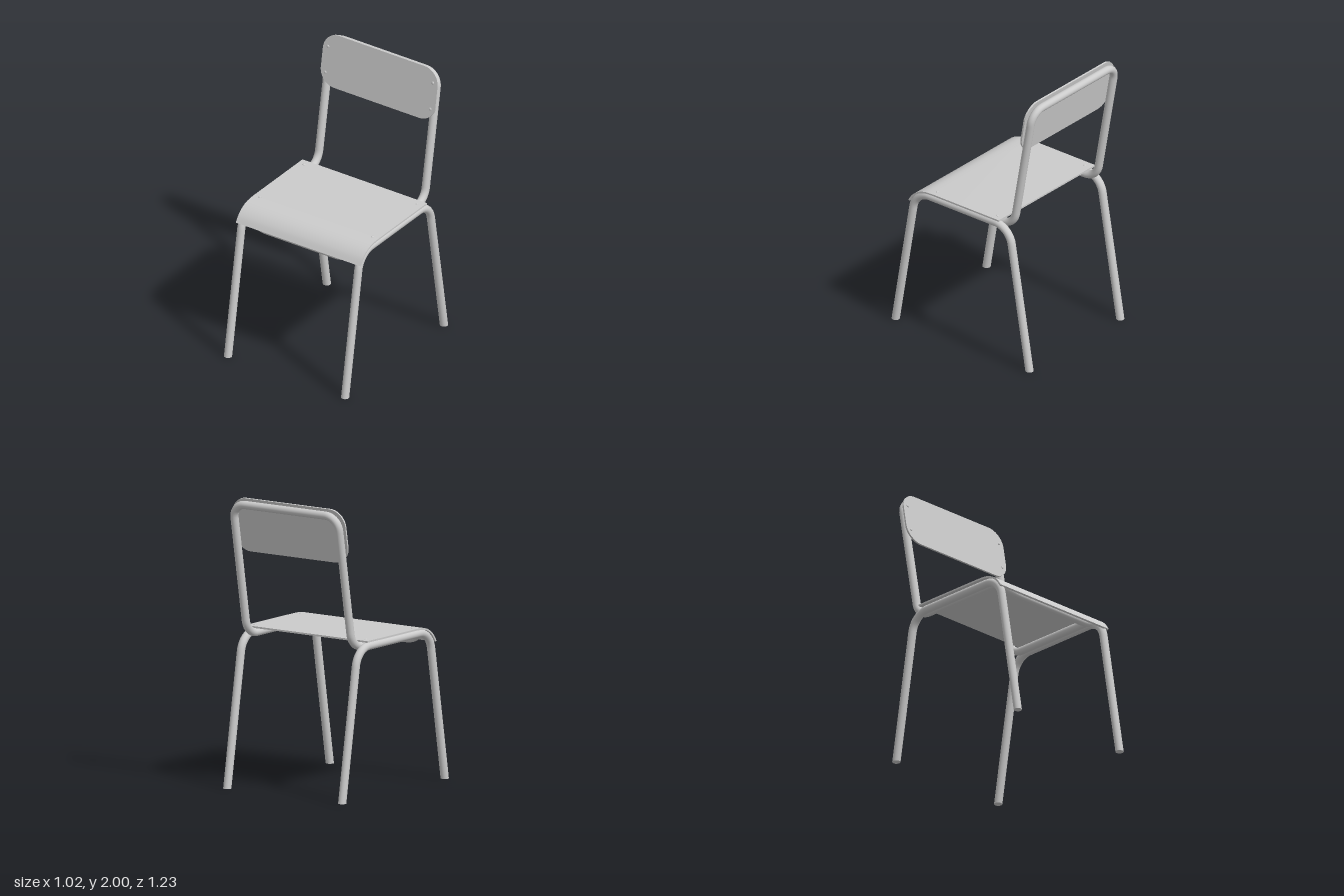
import * as THREE from 'three';
import { toCreasedNormals } from 'three/addons/utils/BufferGeometryUtils.js';

const material = new THREE.MeshStandardMaterial({ color: 0xcccccc });
const TUBE = 0.028;

function part(name, geometry) {
  const mesh = new THREE.Mesh(geometry, material);
  mesh.name = name;
  return mesh;
}

// Path through [z, y] corners in a side plane, every corner rounded to the given radius
function roundedPath(x, corners, radii) {
  const pts = corners.map(([z, y]) => new THREE.Vector3(x, y, z));
  const path = new THREE.CurvePath();
  let from = pts[0];
  for (let i = 1; i < pts.length - 1; i++) {
    const a = pts[i].clone().sub(pts[i - 1]).normalize();
    const b = pts[i + 1].clone().sub(pts[i]).normalize();
    const turn = a.angleTo(b);
    const r = radii[i - 1];
    const start = pts[i].clone().addScaledVector(a, -r * Math.tan(turn / 2));
    const end = pts[i].clone().addScaledVector(b, r * Math.tan(turn / 2));
    const k = (4 / 3) * Math.tan(turn / 4) * r;
    path.add(new THREE.LineCurve3(from, start));
    path.add(new THREE.CubicBezierCurve3(start, start.clone().addScaledVector(a, k),
      end.clone().addScaledVector(b, -k), end));
    from = end;
  }
  path.add(new THREE.LineCurve3(from, pts[pts.length - 1]));
  return path;
}

// Side frame: front leg, seat rail and back leg bent from one tube, feet cut level
function legFrame(x) {
  const foot = 0.585, bend = 0.409, rail = 1.037, steps = 120;
  const path = roundedPath(x, [[foot, 0], [bend, rail], [-bend, rail], [-foot, 0]], [0.145, 0.145]);
  const geometry = new THREE.TubeGeometry(path, steps, TUBE, 18);
  const pos = geometry.attributes.position;
  const slope = (foot - bend) / rail;
  const ring = 19;
  for (let j = 0; j < ring; j++) {
    for (const [i, side] of [[j, 1], [steps * ring + j, -1]]) {
      pos.setZ(i, pos.getZ(i) + side * slope * pos.getY(i));
      pos.setY(i, 0);
    }
  }
  const group = new THREE.Group();
  group.name = 'legFrame';
  group.add(part('legTube', geometry));
  for (const z of [foot, -foot]) {
    const cap = part('footCap', new THREE.CircleGeometry(TUBE, 18).rotateX(Math.PI / 2));
    cap.position.set(x, 0, z);
    group.add(cap);
  }
  return group;
}

// Rounded rectangle bent along a side profile: front bar, seat rails, uprights, top bar
class BentLoop extends THREE.Curve {
  constructor(profile, halfWidth, frontRadius, topRadius) {
    super();
    this.arcLengthDivisions = 800;
    this.profile = profile;
    this.span = profile.getLength();
    const w = halfWidth, L = this.span, f = frontRadius, t = topRadius, P = Math.PI;
    this.plan = new THREE.Path();
    this.plan.moveTo(0, 0).lineTo(w - f, 0);
    this.plan.absarc(w - f, f, f, -P / 2, 0);
    this.plan.absarc(w - t, L - t, t, 0, P / 2);
    this.plan.absarc(-w + t, L - t, t, P / 2, P);
    this.plan.absarc(-w + f, f, f, P, 1.5 * P);
    this.plan.lineTo(0, 0);
  }
  getPoint(t, target = new THREE.Vector3()) {
    const p = this.plan.getPoint(THREE.MathUtils.clamp(t, 0, 1));
    const q = this.profile.getPoint(THREE.MathUtils.clamp(p.y / this.span, 0, 1));
    return target.set(p.x, q.y, q.z);
  }
}

// Thin sheet with a flat top and a front edge that rolls down
function seatGeometry() {
  const width = 1.02, thickness = 0.012;
  const roll = new THREE.SplineCurve([[0.23, 1.08], [0.31, 1.074], [0.37, 1.052], [0.417, 1.015], [0.45, 0.968]]
    .map(([z, y]) => new THREE.Vector2(z, y)));
  const top = [new THREE.Vector2(-0.34, 1.08)];
  const under = [new THREE.Vector2(-0.34, 1.08 - thickness)];
  for (let i = 0; i <= 20; i++) {
    const p = roll.getPointAt(i / 20), d = roll.getTangentAt(i / 20);
    top.push(p);
    under.push(new THREE.Vector2(p.x + d.y * thickness, p.y - d.x * thickness));
  }
  const geometry = new THREE.ExtrudeGeometry(new THREE.Shape([...top, ...under.reverse()]),
    { depth: width, bevelEnabled: false });
  geometry.rotateY(-Math.PI / 2).translate(width / 2, 0, 0);
  return toCreasedNormals(geometry, 0.6);
}

// Flat panel with rounded corners, centred on its own origin
function backPanelGeometry() {
  const w = 0.47, h = 0.19, r = 0.12, t = 0.012, P = Math.PI;
  const shape = new THREE.Shape();
  shape.absarc(w - r, h - r, r, 0, P / 2);
  shape.absarc(-w + r, h - r, r, P / 2, P);
  shape.absarc(-w + r, -h + r, r, P, 1.5 * P);
  shape.absarc(w - r, -h + r, r, 1.5 * P, 2 * P);
  const geometry = new THREE.ExtrudeGeometry(shape, { depth: t, bevelEnabled: false, curveSegments: 14 });
  return toCreasedNormals(geometry.translate(0, 0, -t / 2), 0.6);
}

// Low domed rivet head facing +y
function rivet(name) {
  return part(name, new THREE.SphereGeometry(0.011, 14, 8).scale(1, 0.5, 1));
}

export function createModel() {
  const model = new THREE.Group();
  model.name = 'chair';

  for (const x of [0.48, -0.48]) model.add(legFrame(x));

  // Continuous tube carrying the seat and backrest
  const profile = roundedPath(0, [[0.412, 0.965], [0.367, 1.037], [-0.415, 1.037], [-0.578, 1.957]], [0.145, 0.12]);
  const loop = new BentLoop(profile, 0.437, 0.15, 0.1);
  model.add(part('backFrame', new THREE.TubeGeometry(loop, 260, TUBE, 18, true)));

  // Seat with its rivets
  model.add(part('seat', seatGeometry()));
  for (const x of [0.462, -0.462]) {
    for (const z of [0.235, -0.29]) {
      const head = rivet('seatRivet');
      head.position.set(x, 1.08, z);
      model.add(head);
    }
  }

  // Backrest leaning with the uprights
  const backrest = new THREE.Group();
  backrest.name = 'backrest';
  backrest.add(part('backPanel', backPanelGeometry()));
  for (const x of [0.43, -0.43]) {
    for (const y of [0.09, -0.1]) {
      const head = rivet('backRivet');
      head.rotation.x = Math.PI / 2;
      head.position.set(x, y, 0.006);
      backrest.add(head);
    }
  }
  backrest.position.set(0, 1.812, -0.517);
  backrest.rotation.x = -0.172;
  model.add(backrest);

  return model;
}
